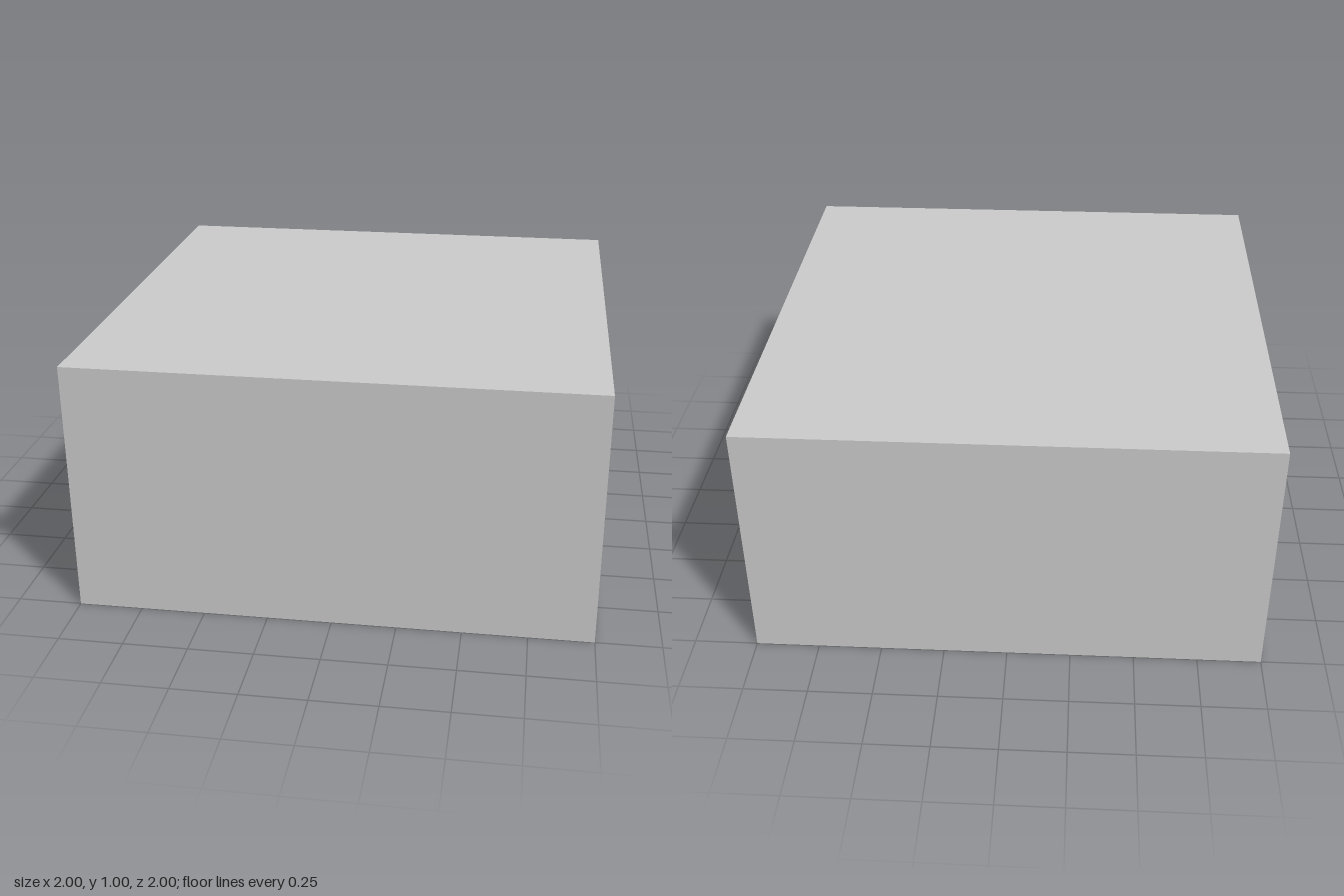
import * as THREE from 'three';

export function createModel() {
  const model = new THREE.Group();
  const inner = 0.915; // half-width of the cavity
  const ceiling = 0.995; // underside of the thin top

  // Half section: ceiling, inner wall, bottom rim, outer wall, top
  const section = [
    [0, ceiling], [inner, ceiling], [inner, 0], [1, 0], [1, 1], [0, 1],
  ].map(([r, y]) => new THREE.Vector2(r * Math.SQRT2, y));

  // Four-sided turn makes a square box, open underneath
  const geometry = new THREE.LatheGeometry(section, 4).rotateY(Math.PI / 4).toNonIndexed();
  geometry.computeVertexNormals();

  const shell = new THREE.Mesh(
    geometry,
    new THREE.MeshStandardMaterial({ color: 0xcccccc, flatShading: true })
  );
  shell.name = 'openBottomBox';
  model.add(shell);
  return model;
}
